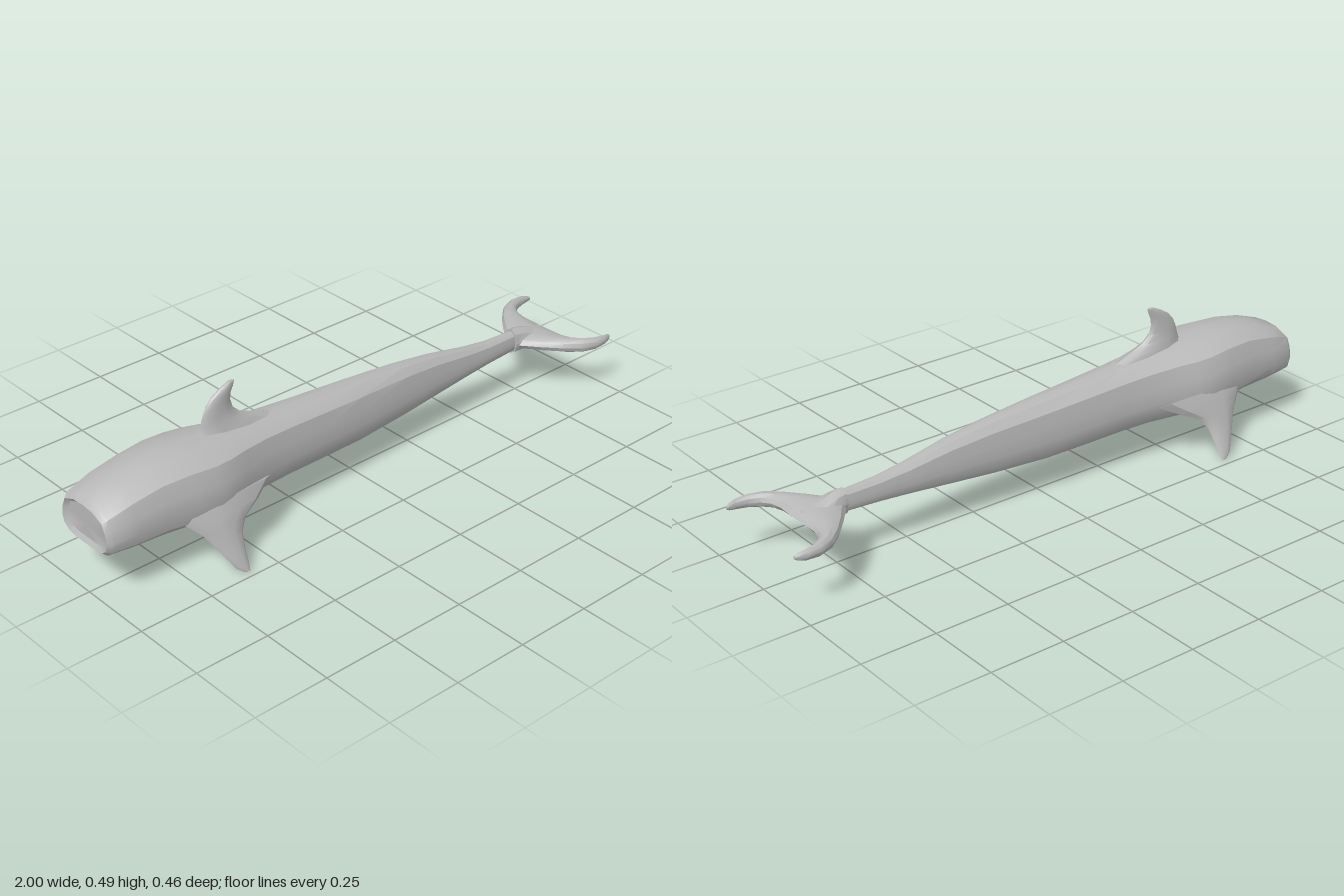
import * as THREE from 'three';
import { toCreasedNormals } from 'three/addons/utils/BufferGeometryUtils.js';

const V = (x, y, z) => new THREE.Vector3(x, y, z);

// Skin a list of equal-length rings, close both ends, keep hard edges sharp
function loft(rings, crease = 0.6) {
  const n = rings[0].length, pts = rings.flat(), idx = [];
  for (let r = 0; r < rings.length - 1; r++) {
    for (let i = 0; i < n; i++) {
      const a = r * n + i, b = r * n + (i + 1) % n;
      idx.push(a, b, b + n, a, b + n, a + n);
    }
  }
  const cap = (start, flip) => {
    const c = V(0, 0, 0);
    for (let i = 0; i < n; i++) c.addScaledVector(pts[start + i], 1 / n);
    const k = pts.push(c) - 1;
    for (let i = 0; i < n; i++) {
      const a = start + i, b = start + (i + 1) % n;
      idx.push(k, flip ? b : a, flip ? a : b);
    }
  };
  const last = (rings.length - 1) * n;
  cap(0, true);
  cap(last, false);
  // Turn all faces outward
  let volume = 0;
  for (let i = 0; i < idx.length; i += 3) {
    const [a, b, c] = [pts[idx[i]], pts[idx[i + 1]], pts[idx[i + 2]]];
    volume += a.dot(b.clone().cross(c));
  }
  if (volume < 0) idx.reverse();
  const g = new THREE.BufferGeometry().setFromPoints(pts);
  g.setIndex(idx);
  return toCreasedNormals(g, crease);
}

// Lens-shaped ring between a leading and a trailing point
function lens(front, rear, thick, n = 10) {
  const mid = front.clone().add(rear).multiplyScalar(0.5);
  const half = front.clone().sub(mid);
  return Array.from({ length: n }, (_, i) => {
    const a = (i / n) * Math.PI * 2;
    return mid.clone().addScaledVector(half, Math.cos(a)).addScaledVector(thick, Math.sin(a));
  });
}

// Half body section: [share of half width, share of height]
const HALF = [[0, 0], [0.42, 0], [0.74, 0.04], [0.93, 0.16], [1, 0.36],
  [0.95, 0.6], [0.83, 0.83], [0.42, 0.97], [0, 1]];
const SECTION = [...HALF, ...HALF.slice(1, -1).reverse().map(([z, y]) => [-z, y])];

// Body stations: x, bottom, top, half width
const BODY = [
  [-0.99, 0.185, 0.29, 0.09], [-1, 0.17, 0.3, 0.108], [-0.985, 0.16, 0.315, 0.12],
  [-0.9, 0.154, 0.345, 0.13], [-0.8, 0.15, 0.365, 0.135], [-0.7, 0.144, 0.37, 0.148],
  [-0.62, 0.135, 0.364, 0.152], [-0.56, 0.13, 0.36, 0.143], [-0.5, 0.13, 0.355, 0.124],
  [-0.4, 0.13, 0.345, 0.1], [-0.3, 0.128, 0.337, 0.089], [-0.15, 0.123, 0.326, 0.079],
  [0, 0.12, 0.316, 0.07], [0.2, 0.128, 0.3, 0.054], [0.35, 0.14, 0.28, 0.043],
  [0.5, 0.153, 0.25, 0.033], [0.6, 0.16, 0.236, 0.027], [0.73, 0.165, 0.23, 0.021],
];

// Dorsal fin levels: y, front x, rear x, half thickness
const DORSAL = [
  [0.335, -0.61, -0.31, 0.036], [0.36, -0.588, -0.38, 0.029], [0.38, -0.58, -0.43, 0.022],
  [0.405, -0.573, -0.457, 0.017], [0.435, -0.56, -0.466, 0.014], [0.46, -0.537, -0.462, 0.012],
  [0.48, -0.505, -0.453, 0.01], [0.494, -0.475, -0.449, 0.006],
];

// Flipper levels: y, z, front x, rear x, half thickness
const FLIPPER = [
  [0.2, 0.11, -0.77, -0.41, 0.04], [0.165, 0.137, -0.73, -0.48, 0.03],
  [0.135, 0.156, -0.7, -0.545, 0.022], [0.105, 0.172, -0.68, -0.57, 0.016],
  [0.06, 0.195, -0.655, -0.58, 0.011], [0.02, 0.217, -0.63, -0.585, 0.007],
  [0.002, 0.226, -0.605, -0.588, 0.004],
];

// Fluke sections: front x, front z, rear x, rear z, half thickness
const FLUKE = [
  [0.72, 0.022, 0.878, 0.03, 0.026], [0.775, 0.09, 0.876, 0.09, 0.025],
  [0.82, 0.14, 0.885, 0.127, 0.024], [0.87, 0.183, 0.905, 0.152, 0.023],
  [0.92, 0.203, 0.937, 0.17, 0.02], [0.965, 0.202, 0.97, 0.178, 0.016],
  [0.99, 0.194, 0.99, 0.178, 0.011], [1, 0.188, 1, 0.18, 0.006],
];

export function createModel() {
  const group = new THREE.Group();
  const skin = new THREE.MeshStandardMaterial({ color: 0xb8b8b8 });
  skin.name = 'grey skin';
  const add = (name, rings, crease) => {
    const mesh = new THREE.Mesh(loft(rings, crease), skin);
    mesh.name = name;
    group.add(mesh);
  };

  // Long tapering body with a blunt head
  add('body', BODY.map(([x, y0, y1, w]) =>
    SECTION.map(([z, y]) => V(x, y0 + (y1 - y0) * y, z * w))), 0.55);

  // Swept-back dorsal fin
  add('dorsalFin', DORSAL.map(([y, x0, x1, t]) => lens(V(x0, y, 0), V(x1, y, 0), V(0, 0, t))));

  // Downward flippers, mirrored across the body
  for (const s of [1, -1]) {
    add(s > 0 ? 'rightFlipper' : 'leftFlipper', FLIPPER.map(([y, z, x0, x1, t]) =>
      lens(V(x0, y, s * z), V(x1, y, s * z), V(0, t * 0.5, s * t * 0.87))));
  }

  // Crescent tail flukes, one skin from tip to tip
  const side = (s) => FLUKE.map(([x0, z0, x1, z1, t]) =>
    lens(V(x0, 0.187, s * z0), V(x1, 0.187, s * z1), V(0, t, 0)));
  add('tailFlukes', [...side(-1).reverse(), ...side(1)]);

  // Raised root where the flukes join the tail
  const root = [[0.718, 0.15, 0.24, 0.03], [0.75, 0.152, 0.236, 0.036],
    [0.8, 0.16, 0.218, 0.045], [0.86, 0.17, 0.205, 0.03]];
  add('tailRoot', root.map(([x, y0, y1, w]) =>
    lens(V(x, (y0 + y1) / 2, w), V(x, (y0 + y1) / 2, -w), V(0, (y1 - y0) / 2, 0), 8)));

  return group;
}
